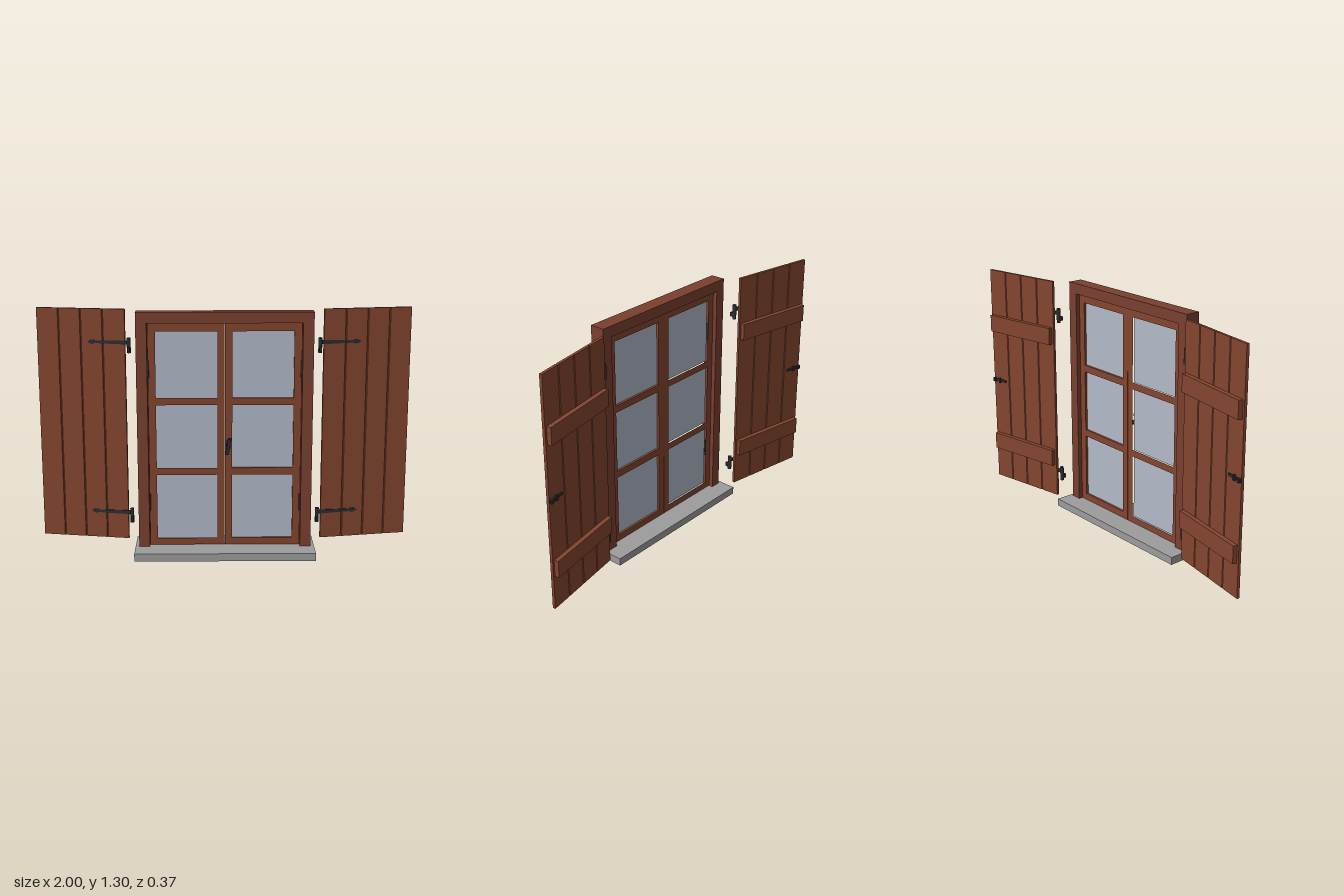
import * as THREE from 'three';

const mat = (color) => new THREE.MeshStandardMaterial({ color });

export function createModel() {
  const model = new THREE.Group();
  const wood = mat(0x84452f), frameWood = mat(0x7a402f);
  const iron = mat(0x2b2d30), stone = mat(0x9c9c9c), glass = mat(0xb2bac8);

  const add = (parent, name, geometry, material, x = 0, y = 0, z = 0) => {
    const mesh = new THREE.Mesh(geometry, material);
    mesh.name = name;
    mesh.position.set(x, y, z);
    parent.add(mesh);
    return mesh;
  };
  // box given by its limits on each axis
  const box = (parent, name, material, x0, x1, y0, y1, z0, z1) =>
    add(parent, name, new THREE.BoxGeometry(Math.abs(x1 - x0), y1 - y0, z1 - z0), material,
      (x0 + x1) / 2, (y0 + y1) / 2, (z0 + z1) / 2);
  const rod = (r, h) => new THREE.CylinderGeometry(r, r, h, 16);
  const extrude = (points, depth) => new THREE.ExtrudeGeometry(
    new THREE.Shape(points.map(([x, y]) => new THREE.Vector2(x, y))), { depth, bevelEnabled: false });
  const group = (parent, name) => {
    const g = new THREE.Group();
    g.name = name;
    parent.add(g);
    return g;
  };

  box(model, 'sill', stone, -0.48, 0.48, 0, 0.042, -0.105, 0.185);

  // outer frame: two jambs and a head in one piece
  add(model, 'windowFrame', extrude([
    [-0.46, 0.042], [-0.46, 1.305], [0.46, 1.305], [0.46, 0.042],
    [0.403, 0.042], [0.403, 1.248], [-0.403, 1.248], [-0.403, 0.042],
  ], 0.08), frameWood, 0, 0, -0.01);

  // sashes, each with three panes
  const panes = [[0.082, 0.435], [0.473, 0.814], [0.852, 1.203]];
  const zBack = 0.012, zFront = 0.043;
  for (const s of [1, -1]) {
    const sash = group(model, s > 0 ? 'leftSash' : 'rightSash');
    const shape = new THREE.Shape();
    const rect = (path, x0, x1, y0, y1) => path.moveTo(x0 * s, y0).lineTo(x1 * s, y0)
      .lineTo(x1 * s, y1).lineTo(x0 * s, y1).closePath();
    rect(shape, 0.0008, 0.401, 0.045, 1.246);
    for (const [y0, y1] of panes) {
      const hole = new THREE.Path();
      rect(hole, 0.039, 0.361, y0, y1);
      shape.holes.push(hole);
      box(sash, 'pane', glass, s * 0.036, s * 0.364, y0 - 0.003, y1 + 0.003, 0.024, 0.031);
    }
    add(sash, 'sashFrame', new THREE.ExtrudeGeometry(shape,
      { depth: zFront - zBack, bevelEnabled: false }), wood, 0, 0, zBack);
    for (const y of [0.285, 1.005])
      add(sash, 'sashHinge', rod(0.007, 0.09), iron, s * 0.402, y, zFront + 0.003);
  }

  // window handle
  const handle = group(model, 'windowHandle');
  add(handle, 'handleStem', rod(0.012, 0.045), iron, 0.018, 0.602, 0.062).rotation.x = Math.PI / 2;
  box(handle, 'handlePlate', iron, 0.006, 0.03, 0.575, 0.629, zFront, 0.049);
  add(handle, 'handleGrip', new THREE.BoxGeometry(0.018, 0.088, 0.019), iron,
    0.018, 0.602, 0.091).rotation.z = -0.17;

  // shutters, swung open about their inner edge
  const length = 0.48, thick = 0.015, count = 4, w = length / count, c = 0.004;
  for (const s of [1, -1]) {
    const shutter = group(model, s > 0 ? 'leftShutter' : 'rightShutter');
    shutter.position.set(s * 0.525, 0, -0.063);
    shutter.rotation.y = s * THREE.MathUtils.degToRad(10);

    // planks with chamfered edges that leave grooves between them
    for (let i = 0; i < count; i++) {
      const a = i * w, b = a + w;
      const ca = i > 0 ? c : 0, cb = i < count - 1 ? c : 0;
      const plank = extrude([[a, c], [a + ca, 0], [b - cb, 0], [b, c],
        [b, thick - c], [b - cb, thick], [a + ca, thick], [a, thick - c]]
        .map(([x, y]) => [x * s, y]), 1.26).rotateX(-Math.PI / 2);
      add(shutter, 'plank', plank, wood, 0, 0.045, 0);
    }
    for (const y of [0.278, 0.998])
      box(shutter, 'batten', wood, s * 0.012, s * 0.468, y - 0.047, y + 0.047, -thick - 0.024, -thick);

    // latch on the back near the free edge
    const latch = group(shutter, 'latch');
    box(latch, 'latchBar', iron, s * 0.385, s * 0.484, 0.65, 0.662, -thick - 0.008, -thick);
    box(latch, 'latchGuide', iron, s * 0.425, s * 0.437, 0.642, 0.67, -thick - 0.012, -thick);
    box(latch, 'latchHook', iron, s * 0.462, s * 0.478, 0.646, 0.666, -thick - 0.016, -thick);

    for (const y of [0.195, 1.13]) {
      // strap with a pointed, spear-shaped end
      const outline = [[-0.02, 0.011], [0.165, 0.007], [0.172, 0.012], [0.188, 0.01], [0.204, 0]];
      const lower = outline.slice(0, -1).reverse().map(([x, v]) => [x, -v]);
      add(shutter, 'strapHinge', extrude([...outline, ...lower].map(([x, v]) => [x * s, v]), 0.005),
        iron, 0, y, 0);

      // wall pin the strap turns on
      const pin = group(model, 'hingePin');
      pin.position.set(s * 0.504, y, -0.054);
      add(pin, 'knuckle', rod(0.0105, 0.08), iron, 0, -0.015, 0);
      add(pin, 'wallSpike', new THREE.BoxGeometry(0.012, 0.024, 0.026), iron, 0, -0.033, 0.011);
    }
  }
  return model;
}
